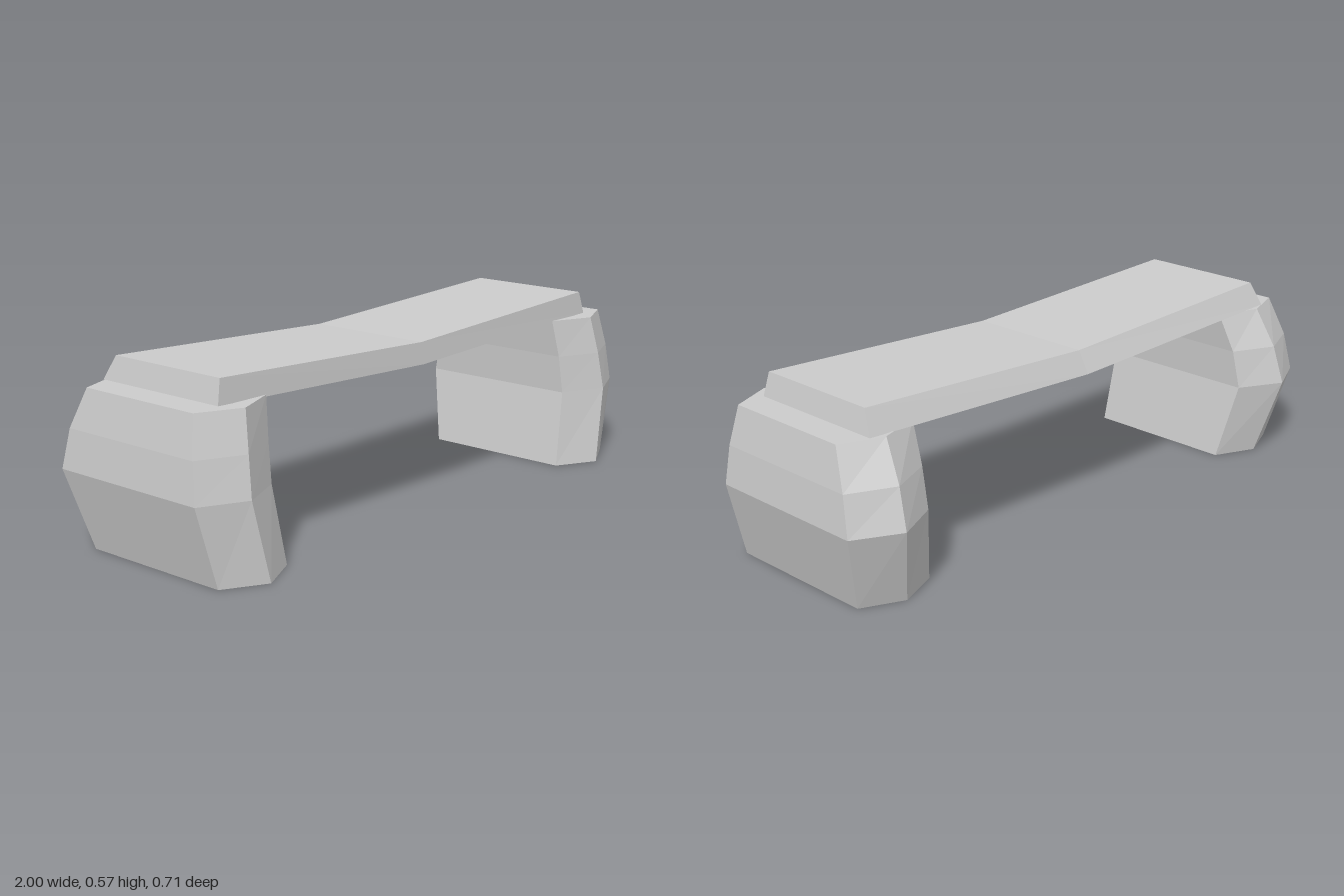
import * as THREE from 'three';

// Skin a list of equal-sized rings, with optional flat caps at either end.
// Rings run counter-clockwise when seen from the end of the path.
function loft(rings, capStart, capEnd) {
  const pos = [];
  const tri = (a, b, c) => pos.push(...a, ...b, ...c);
  const n = rings[0].length;
  for (let i = 0; i < rings.length - 1; i++) {
    for (let j = 0; j < n; j++) {
      const k = (j + 1) % n;
      const a = rings[i][j], b = rings[i][k], c = rings[i + 1][k], d = rings[i + 1][j];
      tri(a, b, c);
      tri(a, c, d);
    }
  }
  const first = rings[0], last = rings[rings.length - 1];
  for (let j = 1; j < n - 1; j++) {
    if (capStart) tri(first[0], first[j + 1], first[j]);
    if (capEnd) tri(last[0], last[j], last[j + 1]);
  }
  const geo = new THREE.BufferGeometry();
  geo.setAttribute('position', new THREE.Float32BufferAttribute(pos, 3));
  geo.computeVertexNormals();
  return geo;
}

// Leg levels: height, x of inner side / ridge / outer side,
// z of front ridge / front corner / back corner / back ridge
const LEG_LEVELS = [
  [0, 0.663, 0.8, 0.933, 0.357, 0.285, -0.23, -0.289],
  [0.248, 0.707, 0.853, 1.0, 0.341, 0.272, -0.283, -0.357],
  [0.372, 0.702, 0.843, 0.988, 0.322, 0.257, -0.256, -0.321],
  [0.495, 0.687, 0.827, 0.963, 0.297, 0.236, -0.203, -0.254],
];

// Bulging six-sided leg, open underneath
function legGeometry(side) {
  const rings = LEG_LEVELS.map(([y, inner, mid, outer, zf, zfc, zbc, zb]) => {
    const ring = [
      [outer, zfc], [outer, zbc], [mid, zb], [inner, zbc], [inner, zfc], [mid, zf],
    ].map(([x, z]) => [side * x, y, z]);
    return side < 0 ? ring.reverse() : ring;
  });
  return loft(rings, false, true);
}

// Sagging seat slab with sloped edges
function seatGeometry() {
  const section = (xTop, xBottom, yTop, yBottom) => [
    [xTop, yTop, -0.2], [xTop, yTop, 0.228],
    [xBottom, yBottom, 0.237], [xBottom, yBottom, -0.238],
  ];
  return loft([
    section(-0.855, -0.872, 0.571, 0.497),
    section(0, 0, 0.532, 0.463),
    section(0.855, 0.872, 0.571, 0.497),
  ], true, true);
}

export function createModel() {
  const group = new THREE.Group();
  group.name = 'bench';
  const material = new THREE.MeshStandardMaterial({
    color: 0xcccccc, flatShading: true, side: THREE.DoubleSide,
  });
  const add = (name, geometry) => {
    const mesh = new THREE.Mesh(geometry, material);
    mesh.name = name;
    group.add(mesh);
  };
  add('seat', seatGeometry());
  add('leftLeg', legGeometry(1));
  add('rightLeg', legGeometry(-1));
  return group;
}
